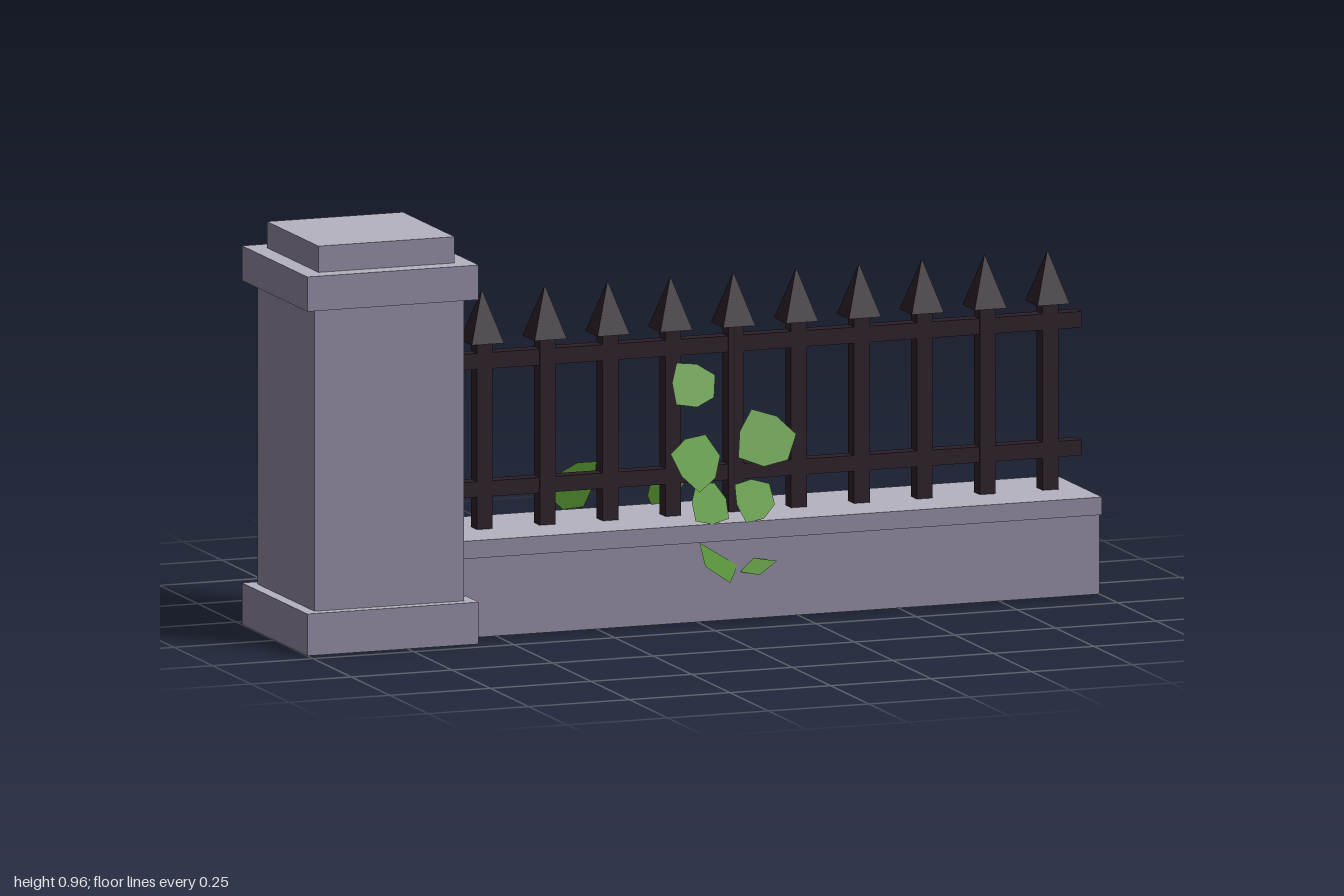
import * as THREE from 'three';

export function createModel() {
  const model = new THREE.Group();
  model.name = 'fenceSection';

  const mat = (name, color, extra = {}) => {
    const m = new THREE.MeshStandardMaterial({ color, flatShading: true, ...extra });
    m.name = name;
    return m;
  };
  const stone = mat('stone', 0x8b869c);
  const paleStone = mat('paleStone', 0xb5b2bf);
  const iron = mat('iron', 0x2b1e28);
  const green = mat('leafGreen', 0x589632, { side: THREE.DoubleSide });
  // Stone block with a paler upper face
  const cappedStone = [stone, stone, paleStone, stone, stone, stone];

  const add = (parent, name, geometry, material) => {
    const mesh = new THREE.Mesh(geometry, material);
    mesh.name = name;
    parent.add(mesh);
    return mesh;
  };
  // Box given by its limits
  const box = (parent, name, x0, x1, y0, y1, halfZ, material) => {
    const mesh = add(parent, name, new THREE.BoxGeometry(x1 - x0, y1 - y0, halfZ * 2), material);
    mesh.position.set((x0 + x1) / 2, (y0 + y1) / 2, 0);
  };
  const group = (name) => {
    const g = new THREE.Group();
    g.name = name;
    model.add(g);
    return g;
  };

  // Stone pillar
  const pillar = group('pillar');
  box(pillar, 'pillarBase', -1, -0.574, 0, 0.099, 0.213, cappedStone);
  box(pillar, 'pillarShaft', -0.972, -0.6, 0.099, 0.813, 0.186, stone);
  box(pillar, 'pillarCap', -1, -0.574, 0.813, 0.895, 0.213, cappedStone);
  box(pillar, 'pillarTop', -0.955, -0.617, 0.895, 0.957, 0.168, cappedStone);

  // Low wall with overhanging coping
  const wall = group('lowWall');
  box(wall, 'wallBody', -0.61, 1, 0, 0.19, 0.132, stone);
  box(wall, 'coping', -0.61, 1, 0.19, 0.232, 0.148, cappedStone);

  // Iron railing
  const railing = group('railing');
  box(railing, 'lowerRail', -0.586, 0.998, 0.308, 0.345, 0.0185, iron);
  box(railing, 'upperRail', -0.586, 0.998, 0.61, 0.648, 0.0185, iron);
  const spike = new THREE.ConeGeometry(0.04 * Math.SQRT2, 0.123, 4);
  spike.rotateY(Math.PI / 4);
  for (let i = 0; i < 10; i++) {
    const x = -0.485 + i * 0.1562;
    box(railing, 'bar', x - 0.0195, x + 0.0195, 0.225, 0.675, 0.0195, iron);
    add(railing, 'spike', spike, iron).position.set(x, 0.7335, 0);
  }

  // Ivy leaves: uneven flat polygons
  const ivy = group('ivy');
  const radii = [1.06, 0.86, 1.04, 0.84, 1.08, 0.9, 1.0];
  const leafShape = new THREE.Shape(radii.map((r, i) => {
    const a = (i / 7) * Math.PI * 2;
    return new THREE.Vector2(Math.cos(a) * r, Math.sin(a) * r);
  }));
  const leafGeometry = new THREE.ShapeGeometry(leafShape);
  // x, y, z, radius, yaw, tilt, spin
  [
    [-0.01, 0.56, 0.126, 0.06, 0.04, 0.38, 0.3],
    [0.0, 0.378, 0.127, 0.068, 0.22, 0.36, 1.0],
    [0.17, 0.42, 0.125, 0.073, -0.1, 0.38, 0.1],
    [0.03, 0.275, 0.132, 0.055, 0.2, 0.35, 2.0],
    [0.14, 0.28, 0.132, 0.056, 0.15, 0.35, 0.6],
    [-0.205, 0.292, -0.127, 0.072, Math.PI + 0.35, 0.35, 0.5],
    [0.02, 0.275, -0.13, 0.058, Math.PI + 0.35, 0.35, 1.4],
  ].forEach(([x, y, z, r, yaw, tilt, spin]) => {
    const leaf = add(ivy, 'leaf', leafGeometry, green);
    leaf.position.set(x, y, z);
    leaf.rotation.set(-tilt, yaw, spin, 'YXZ');
    leaf.scale.set(r, r, 1);
  });

  // Leaf tips poking out of the wall face
  const tips = [
    [[0, 0.19, 0.146], [0.03, 0.17, 0.132], [0.06, 0.14, 0.132], [0.1, 0.127, 0.132],
      [0.075, 0.09, 0.15], [0.01, 0.135, 0.158]],
    [[0.105, 0.112, 0.136], [0.145, 0.106, 0.157], [0.19, 0.136, 0.155], [0.14, 0.142, 0.132]],
  ];
  for (const side of [1, -1]) {
    for (const points of tips) {
      const pos = [];
      for (let i = 1; i < points.length - 1; i++) {
        for (const [x, y, z] of [points[0], points[i + 1], points[i]]) {
          pos.push(side > 0 ? x : 0.08 - x * 1.2, y, z * side);
        }
      }
      const g = new THREE.BufferGeometry();
      g.setAttribute('position', new THREE.Float32BufferAttribute(pos, 3));
      g.computeVertexNormals();
      add(ivy, 'leafTip', g, green);
    }
  }

  return model;
}
